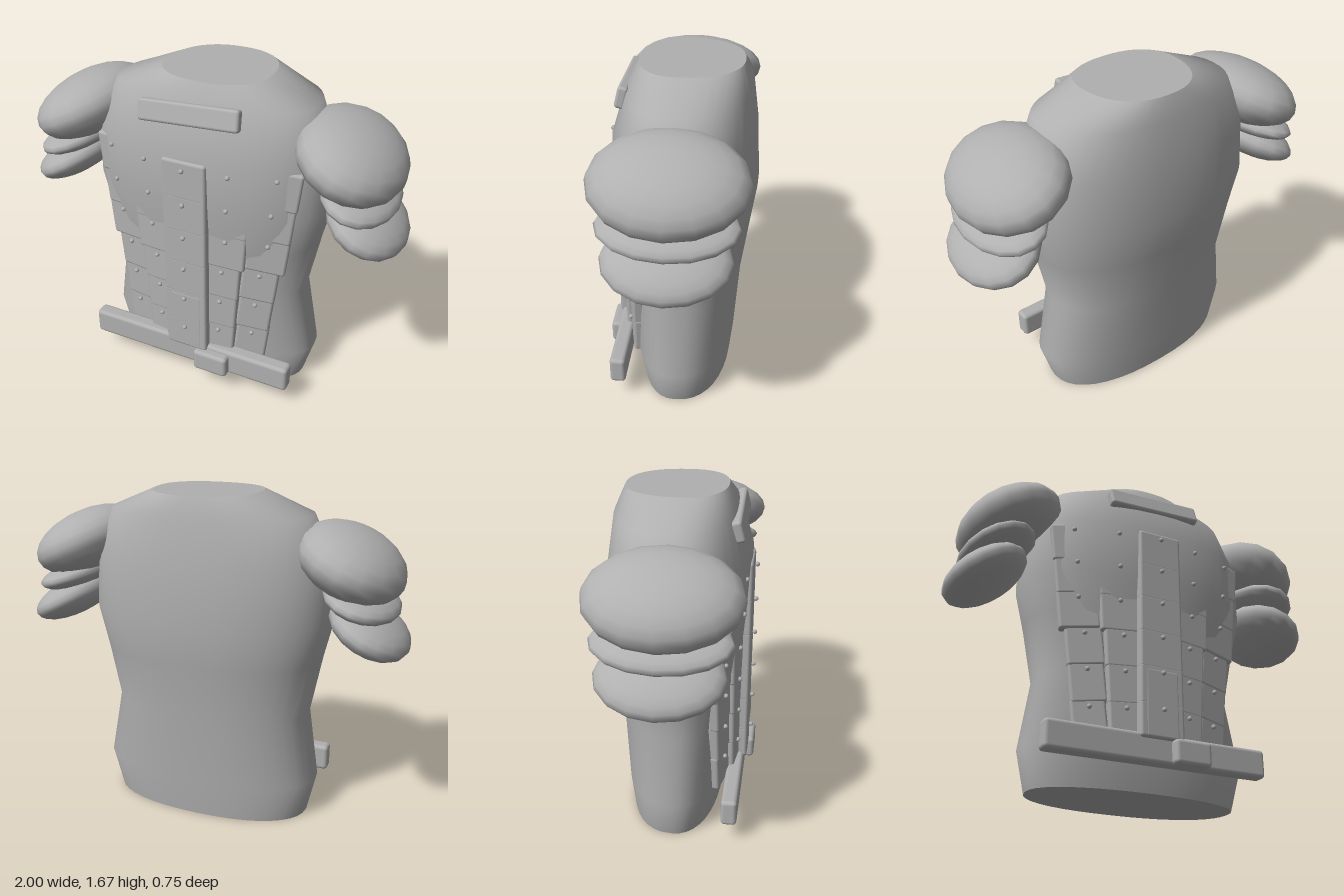
import * as THREE from 'three';
import { RoundedBoxGeometry } from 'three/addons/geometries/RoundedBoxGeometry.js';

const armour = new THREE.MeshStandardMaterial({ color: 0xb0b0b0 });
armour.name = 'plainGrey';

// Torso sections: height, centre x, half width, front z, back z
const SECTIONS = [
  [0, 0.005, 0.535, 0.21, -0.26],
  [0.2, 0.01, 0.585, 0.24, -0.28],
  [0.56, 0, 0.52, 0.255, -0.305],
  [0.85, 0, 0.575, 0.3, -0.345],
  [1.06, 0, 0.625, 0.32, -0.375],
  [1.34, 0, 0.61, 0.335, -0.36],
  [1.57, 0.01, 0.515, 0.265, -0.33],
  [1.67, 0.02, 0.27, 0.21, -0.29],
];
const POWER = 2.3;
const SEGMENTS = 40;

function sectionPoint([y, cx, half, front, back], t) {
  const bend = (v) => Math.sign(v) * Math.abs(v) ** (2 / POWER);
  const s = bend(Math.sin(t));
  return [cx + half * bend(Math.cos(t)), y, s > 0 ? s * front : -s * back];
}

// Front surface depth at a given point of the torso
function frontZ(x, y) {
  let i = 0;
  while (i < SECTIONS.length - 2 && SECTIONS[i + 1][0] < y) i++;
  const a = SECTIONS[i], b = SECTIONS[i + 1];
  const k = (y - a[0]) / (b[0] - a[0]);
  const [, cx, half, front] = a.map((v, j) => v + (b[j] - v) * k);
  const u = Math.min(1, Math.abs(x - cx) / half);
  return front * (1 - u ** POWER) ** (1 / POWER);
}

function torsoGeometry() {
  const pos = [], idx = [];
  for (const s of SECTIONS) {
    for (let j = 0; j < SEGMENTS; j++) pos.push(...sectionPoint(s, (j / SEGMENTS) * Math.PI * 2));
  }
  for (let i = 0; i < SECTIONS.length - 1; i++) {
    for (let j = 0; j < SEGMENTS; j++) {
      const k = (j + 1) % SEGMENTS;
      const a = i * SEGMENTS + j, b = i * SEGMENTS + k;
      idx.push(a, a + SEGMENTS, b, b, a + SEGMENTS, b + SEGMENTS);
    }
  }
  // Separate end caps keep the rims sharp
  for (const [s, top] of [[SECTIONS[0], false], [SECTIONS[SECTIONS.length - 1], true]]) {
    const c = pos.length / 3;
    pos.push(s[1], s[0], (s[3] + s[4]) / 2);
    for (let j = 0; j < SEGMENTS; j++) pos.push(...sectionPoint(s, (j / SEGMENTS) * Math.PI * 2));
    for (let j = 0; j < SEGMENTS; j++) {
      const a = c + 1 + j, b = c + 1 + ((j + 1) % SEGMENTS);
      idx.push(c, ...(top ? [b, a] : [a, b]));
    }
  }
  const g = new THREE.BufferGeometry();
  g.setAttribute('position', new THREE.Float32BufferAttribute(pos, 3));
  g.setIndex(idx);
  g.computeVertexNormals();
  return g;
}

export function createModel() {
  const model = new THREE.Group();
  model.name = 'chestArmour';

  const add = (name, geometry, x, y, z, parent = model) => {
    const m = new THREE.Mesh(geometry, armour);
    m.name = name;
    m.position.set(x, y, z);
    parent.add(m);
    return m;
  };
  const box = (w, h, d, r = 0.015) => new RoundedBoxGeometry(w, h, d, 2, r);

  add('torso', torsoGeometry(), 0, 0, 0);

  // Overlapping shoulder pads: centre x, centre y, half sizes, downward tilt
  const PADS = [
    ['upperShoulderPad', 0.7, 1.365, 0.275, 0.16, 0.355, 0.44],
    ['middleShoulderPad', 0.76, 1.19, 0.19, 0.07, 0.315, 0.3],
    ['lowerShoulderPad', 0.805, 1.05, 0.215, 0.1, 0.29, 0.49],
  ];
  for (const side of [1, -1]) {
    const shoulder = new THREE.Group();
    shoulder.name = side > 0 ? 'leftShoulder' : 'rightShoulder';
    model.add(shoulder);
    for (const [name, x, y, a, b, c, tilt] of PADS) {
      const pad = add(name, new THREE.SphereGeometry(1, 16, 12), side * x, y, 0, shoulder);
      pad.scale.set(a, b, c);
      pad.rotation.z = -side * tilt;
    }
  }

  // Rows of riveted plates, narrowing toward the belt
  const plates = new THREE.Group();
  plates.name = 'frontPlates';
  model.add(plates);
  const rivetShape = new THREE.SphereGeometry(0.012, 10, 8);
  const SPACING = [0.218, 0.208, 0.2, 0.181, 0.172, 0.165];
  const DEPTH = [0.317, 0.268, 0.215];
  SPACING.forEach((step, row) => {
    const y = 1.28 - row * 0.184;
    for (let col = -2; col <= 2; col++) {
      const n = Math.abs(col), side = Math.sign(col);
      const x = col * step;
      const last = row === 5 && n === 0;
      const height = last ? 0.18 : 0.205;
      const width = n === 0 ? 0.23 : step * 1.02;
      const plate = add('plate', box(width, height, 0.055), x - side * n * 0.006, y + 0.042 - height / 2, DEPTH[n], plates);
      plate.rotation.set(0, side * n * 0.12, -side * n * 0.055);
      const z = Math.max(DEPTH[n] + 0.033, frontZ(x, y) + 0.004);
      add('rivet', rivetShape, x, y, n === 0 ? 0.358 : z, plates);
    }
  });
  // Long tongue covering the lowest centre joint
  add('centreTongue', box(0.18, 0.345, 0.056), 0, 0.395, 0.318, plates);

  // Collar bar
  const bar = add('collarBar', box(0.51, 0.105, 0.05), 0, 1.53, 0.272);
  bar.rotation.set(-0.25, 0, 0.06);

  // Belt and its off-centre buckle
  add('belt', box(1.13, 0.14, 0.08, 0.02), -0.005, 0.18, 0.29);
  add('buckle', box(0.19, 0.12, 0.065, 0.02), 0.145, 0.17, 0.342);

  return model;
}
